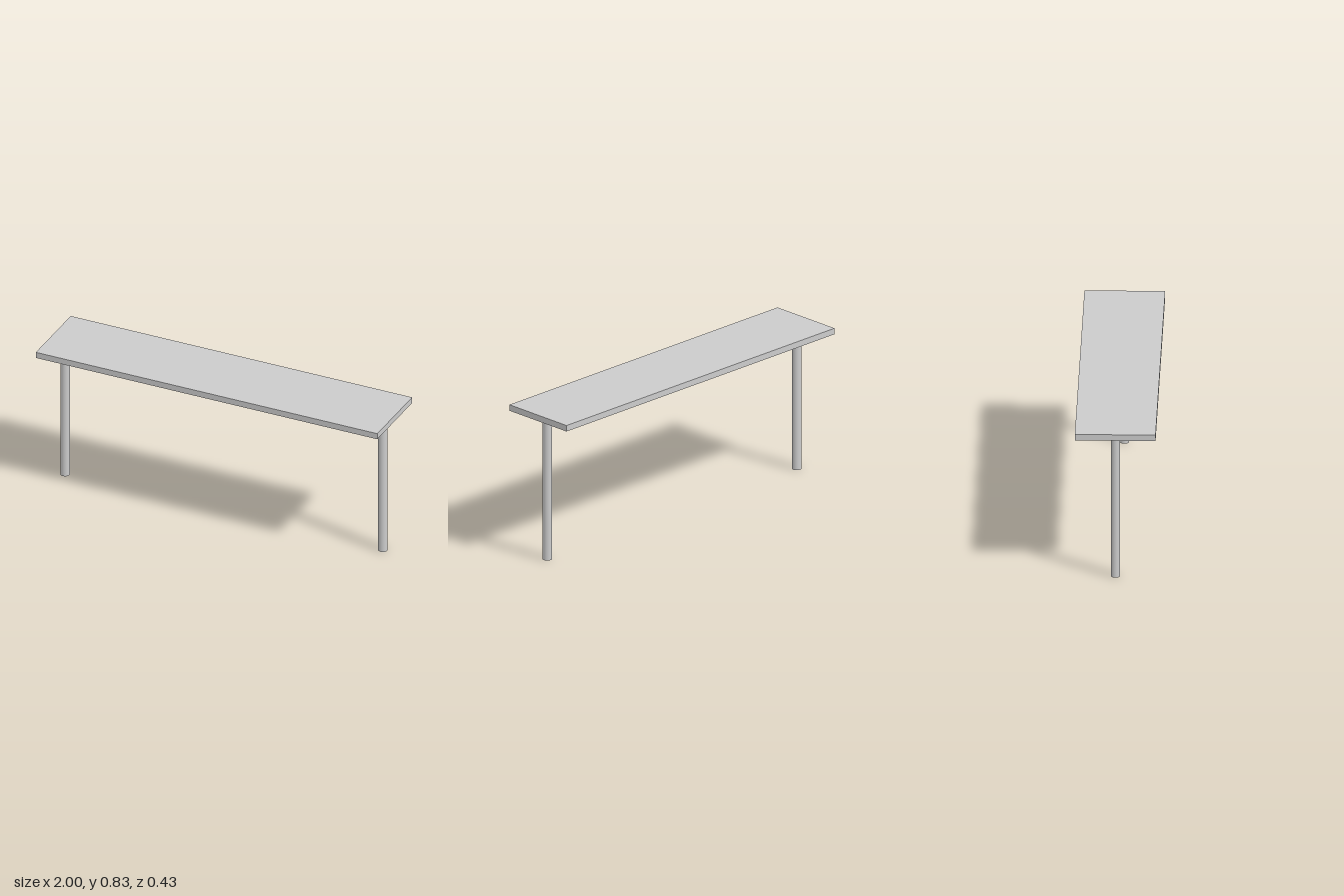
import * as THREE from 'three';

export function createModel() {
  const group = new THREE.Group();
  const material = new THREE.MeshStandardMaterial({ color: 0xcccccc });
  const legHeight = 0.801, slabThickness = 0.034;

  // Flat rectangular slab
  const top = new THREE.Mesh(new THREE.BoxGeometry(2, slabThickness, 0.427), material);
  top.name = 'top';
  top.position.y = legHeight + slabThickness / 2;
  group.add(top);

  // One round leg near each end, on the centre line
  const legGeometry = new THREE.CylinderGeometry(0.025, 0.025, legHeight, 48);
  for (const side of [-1, 1]) {
    const leg = new THREE.Mesh(legGeometry, material);
    leg.name = side > 0 ? 'leftLeg' : 'rightLeg';
    leg.position.set(side * 0.93, legHeight / 2, 0);
    group.add(leg);
  }
  return group;
}
